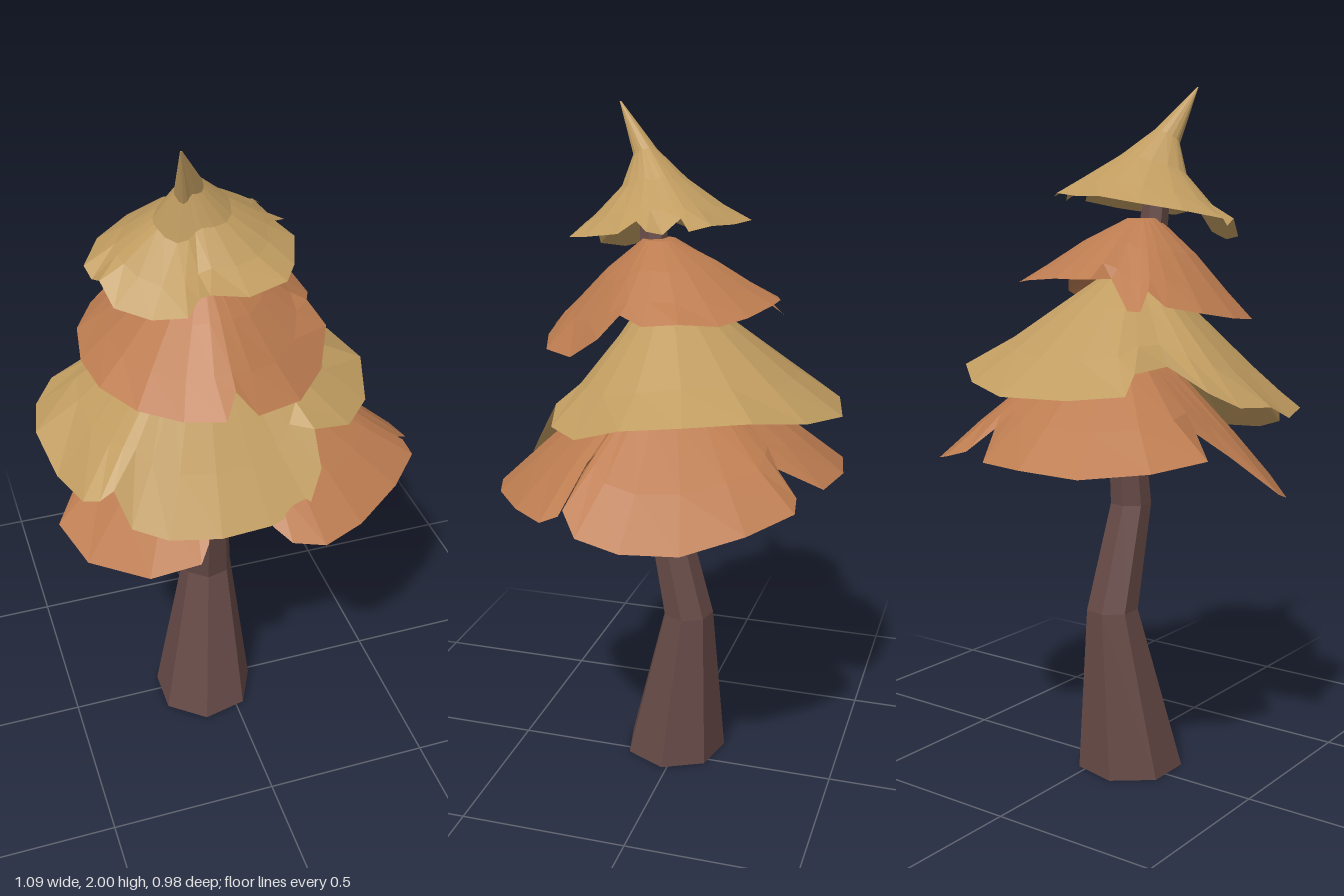
import * as THREE from 'three';

const mat = (name, color) => {
  const m = new THREE.MeshStandardMaterial({ color, flatShading: true, side: THREE.DoubleSide });
  m.name = name;
  return m;
};

// Skins a stack of equal-length closed rings (clockwise from above, top ring first).
function skin(rings, capTop, capBottom) {
  const n = rings[0].length, pos = rings.flat(2), idx = [];
  for (let k = 0; k < rings.length - 1; k++) {
    for (let i = 0; i < n; i++) {
      const j = (i + 1) % n, a = k * n + i, b = k * n + j, c = a + n, d = b + n;
      idx.push(a, b, c, b, d, c);
    }
  }
  const last = (rings.length - 1) * n;
  for (let i = 1; i < n - 1; i++) {
    if (capTop) idx.push(0, i + 1, i);
    if (capBottom) idx.push(last, last + i, last + i + 1);
  }
  const g = new THREE.BufferGeometry();
  g.setAttribute('position', new THREE.Float32BufferAttribute(pos, 3));
  g.setIndex(idx);
  g.computeVertexNormals();
  return g;
}

// Canopy tier: rings run from the top down to a lobed rim.
// Each ring is [centre x, centre z, spread towards rim, fraction of the drop].
function tier(topY, rings, rim) {
  const n = rim.length, lerp = THREE.MathUtils.lerp;
  // inner rings follow a softened rim, so notches fade out towards the top
  const soft = rim.map((p, i) => p.map((v, a) =>
    (rim[(i + n - 1) % n][a] + 2 * v + rim[(i + 1) % n][a]) / 4));
  const inner = rings.map(([x, z, t, h]) => soft.map(p =>
    [lerp(x, p[0], t), lerp(topY, p[1], h), lerp(z, p[2], t)]));
  return skin([...inner, rim], true, false);
}

export function createModel() {
  const group = new THREE.Group();
  const bark = mat('dark bark', 0x664a46);
  const orange = mat('orange leaves', 0xbc7c50);
  const gold = mat('golden leaves', 0xc09c60);
  const add = (name, geometry, material) => {
    const m = new THREE.Mesh(geometry, material);
    m.name = name;
    group.add(m);
  };

  // Bent seven-sided trunk: [x, y, z, radius]
  const spine = [
    [-0.11, 1.74, 0.1, 0.035], [-0.1, 1.62, 0.09, 0.042], [-0.055, 1.02, 0.02, 0.054],
    [-0.058, 0.8, 0.04, 0.061], [-0.043, 0.49, -0.033, 0.077], [-0.073, 0, 0.017, 0.158],
  ];
  add('trunk', skin(spine.map(([x, y, z, r]) => Array.from({ length: 7 }, (_, i) => {
    const a = i / 7 * Math.PI * 2;
    return [x + Math.cos(a) * r, y, z + Math.sin(a) * r];
  })), true, true), bark);

  // Bottom tier with four wide drooping lobes
  add('bottomFoliage', tier(1.3, [[-0.04, 0.02, 0.1, 0], [-0.03, 0.01, 0.45, 0.32], [-0.03, 0, 0.78, 0.7]], [
    [-0.07, 0.98, -0.49], [0.08, 0.98, -0.46], [0.14, 1.05, -0.34], [0.19, 0.99, -0.405],
    [0.26, 0.97, -0.415], [0.38, 0.94, -0.31], [0.49, 0.91, -0.16], [0.54, 0.92, -0.01],
    [0.54, 0.95, 0.11], [0.48, 1.0, 0.165], [0.35, 1.07, 0.15], [0.5, 0.99, 0.17],
    [0.51, 0.97, 0.22], [0.41, 0.96, 0.33], [0.26, 0.945, 0.44], [0.14, 0.935, 0.485],
    [0.05, 0.95, 0.465], [0.01, 0.98, 0.42], [-0.09, 1.08, 0.27], [-0.17, 0.96, 0.41],
    [-0.2, 0.92, 0.44], [-0.33, 0.86, 0.39], [-0.47, 0.83, 0.24], [-0.52, 0.87, 0.1],
    [-0.42, 0.98, 0.0], [-0.36, 1.05, -0.08], [-0.46, 1.0, -0.18], [-0.38, 0.98, -0.33],
    [-0.24, 0.97, -0.46],
  ]), orange);

  // Second tier
  add('lowerFoliage', tier(1.5, [[-0.07, 0.04, 0.1, 0], [-0.07, 0.03, 0.42, 0.36], [-0.07, 0.02, 0.76, 0.74]], [
    [-0.01, 1.17, -0.49], [0.15, 1.19, -0.42], [0.28, 1.22, -0.3], [0.37, 1.22, -0.13],
    [0.41, 1.21, 0.03], [0.37, 1.16, 0.17], [0.28, 1.16, 0.27], [0.165, 1.19, 0.3],
    [0.17, 1.09, 0.35], [0.12, 1.01, 0.4], [0, 0.99, 0.425], [-0.14, 0.99, 0.435],
    [-0.28, 1.0, 0.41], [-0.37, 1.03, 0.37], [-0.4, 1.12, 0.31], [-0.44, 1.1, 0.315],
    [-0.48, 1.09, 0.29], [-0.52, 1.08, 0.15], [-0.545, 1.13, 0], [-0.52, 1.14, -0.12],
    [-0.46, 1.18, -0.18], [-0.32, 1.24, -0.165], [-0.3, 1.23, -0.29], [-0.32, 1.18, -0.36],
    [-0.2, 1.17, -0.45],
  ]), gold);

  // Third tier
  add('upperFoliage', tier(1.63, [[-0.08, 0.07, 0.14, 0], [-0.08, 0.07, 0.5, 0.36], [-0.09, 0.07, 0.8, 0.74]], [
    [-0.1, 1.47, -0.285], [-0.03, 1.47, -0.28], [0.1, 1.46, -0.24], [0.18, 1.45, -0.18],
    [0.23, 1.46, -0.08], [0.24, 1.45, 0.02], [0.21, 1.47, 0.09], [0.25, 1.41, 0.14],
    [0.2, 1.34, 0.24], [0.1, 1.33, 0.35], [-0.03, 1.34, 0.395], [-0.08, 1.4, 0.36],
    [-0.12, 1.35, 0.41], [-0.22, 1.34, 0.365], [-0.32, 1.34, 0.28], [-0.39, 1.35, 0.16],
    [-0.41, 1.36, 0.03], [-0.39, 1.38, -0.1], [-0.33, 1.4, -0.19], [-0.28, 1.44, -0.2],
    [-0.29, 1.39, -0.25], [-0.26, 1.39, -0.265], [-0.16, 1.47, -0.2], [-0.14, 1.47, -0.27],
  ]), orange);

  // Crown with a leaning pointed tip
  add('crownFoliage', tier(2, [
    [-0.17, 0.21, 0.01, 0], [-0.13, 0.13, 0.14, 0.4], [-0.11, 0.1, 0.38, 0.64], [-0.1, 0.08, 0.75, 0.86],
  ], [
    [-0.11, 1.69, -0.195], [-0.02, 1.69, -0.165], [0.08, 1.7, -0.13], [0.13, 1.69, -0.08],
    [0.1, 1.72, -0.05], [0.14, 1.68, -0.01], [0.16, 1.69, 0.03], [0.12, 1.71, 0.07],
    [0.16, 1.68, 0.11], [0.12, 1.66, 0.22], [0.08, 1.65, 0.28], [-0.03, 1.64, 0.31],
    [-0.13, 1.66, 0.305], [-0.15, 1.64, 0.28], [-0.18, 1.59, 0.28], [-0.26, 1.57, 0.23],
    [-0.34, 1.58, 0.16], [-0.36, 1.63, 0.1], [-0.37, 1.61, 0.05], [-0.38, 1.63, 0.01],
    [-0.32, 1.65, -0.09], [-0.22, 1.67, -0.16],
  ]), gold);

  return group;
}
